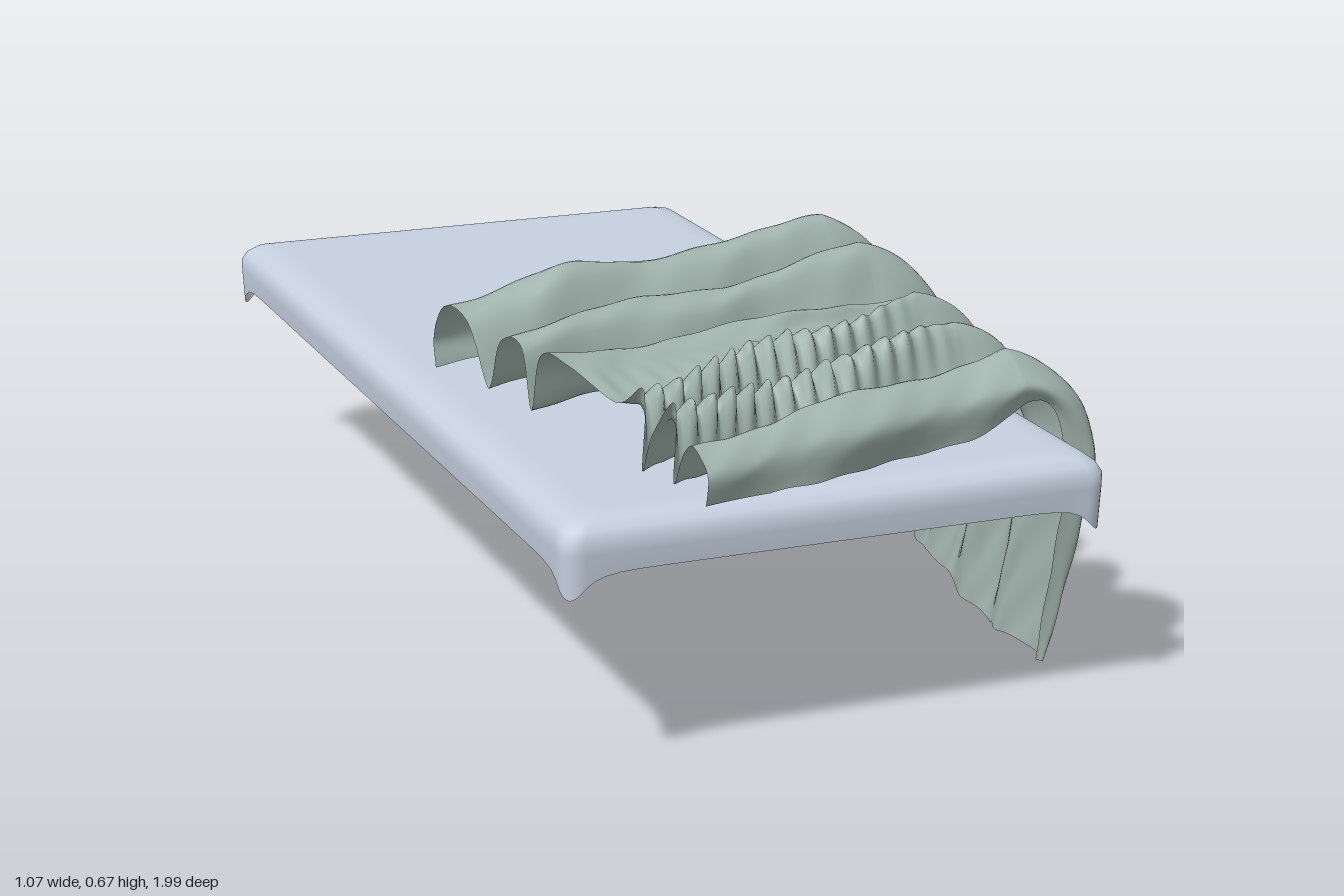
import * as THREE from 'three';

// Smooth indexed surface from a function that returns one column of points
function gridSurface(nu, nv, columnAt) {
  const pos = [], idx = [];
  for (let i = 0; i <= nu; i++) {
    const column = columnAt(i);
    for (let j = 0; j <= nv; j++) pos.push(...column[j]);
  }
  for (let i = 0; i < nu; i++) {
    for (let j = 0; j < nv; j++) {
      const a = i * (nv + 1) + j, b = a + 1, c = a + nv + 1, d = c + 1;
      idx.push(a, b, c, c, b, d);
    }
  }
  const geo = new THREE.BufferGeometry();
  geo.setAttribute('position', new THREE.Float32BufferAttribute(pos, 3));
  geo.setIndex(idx);
  geo.computeVertexNormals();
  return geo;
}

// Fitted sheet: rounded rectangle rings, open below, with hanging corner tips
function sheetGeometry() {
  const hx = 0.495, hz = 0.99, r = 0.035, outline = [];
  const corners = [[1, 1], [-1, 1], [-1, -1], [1, -1]];
  const arcPoint = (q, t) => {
    const a = (q + t) * Math.PI / 2;
    return [corners[q][0] * (hx - r) + r * Math.cos(a), corners[q][1] * (hz - r) + r * Math.sin(a)];
  };
  for (let q = 0; q < 4; q++) {
    for (let k = 0; k <= 8; k++) outline.push(arcPoint(q, k / 8));
    const a = arcPoint(q, 1), b = arcPoint((q + 1) % 4, 0);
    for (let k = 1; k < 24; k++) {
      const f = (1 - Math.cos(Math.PI * k / 24)) / 2;
      outline.push([a[0] + (b[0] - a[0]) * f, a[1] + (b[1] - a[1]) * f]);
    }
  }
  outline.push(outline[0]);
  // inset from the edge, height
  const profile = [[0.003, 0.377], [0, 0.41], [0, 0.432], [0.009, 0.448], [0.025, 0.46], [0.048, 0.466],
    [0.08, 0.467], [0.2, 0.466], [0.35, 0.466], [0.495, 0.466]];
  return gridSurface(outline.length - 1, profile.length - 1, (i) => {
    const [x, z] = outline[i];
    const d = hx - Math.abs(x) + hz - Math.abs(z);
    return profile.map(([inset, y], j) => {
      const s = 1 - inset / hx, sz = j === profile.length - 1 ? 0 : 1 - inset / hz;
      const drop = j === 0 ? 0.1 * Math.exp(-d / 0.025) : 0;
      return [-0.04 + x * s, y - drop, -0.01 + z * sz];
    });
  });
}

// Blanket folds from back to front: z and height at the left end, z and height at the right side
const folds = [
  [0.14, 0.03, -0.07, 0.05], [0.13, 0.08, -0.09, 0.11], [0.17, 0.14, -0.03, 0.165], [0.25, 0.14, 0.05, 0.19],
  [0.31, 0.05, 0.11, 0.13], [0.33, 0.05, 0.14, 0.13], [0.36, 0.14, 0.18, 0.185], [0.43, 0.14, 0.24, 0.18],
  [0.46, 0.03, 0.30, 0.09], [0.49, 0.13, 0.33, 0.13], [0.58, 0.14, 0.36, 0.10], [0.72, 0.12, 0.41, 0.14],
  [0.79, 0.14, 0.44, 0.155], [0.80, 0.02, 0.51, 0.06], [0.83, 0.09, 0.56, 0.13], [0.88, 0.125, 0.61, 0.15],
  [0.89, 0.02, 0.67, 0.07], [0.92, 0.08, 0.71, 0.10], [0.95, 0.10, 0.79, 0.15], [0.99, 0.06, 0.87, 0.11],
  [0.98, 0.0, 0.86, 0.03]];
const puckered = [12, 15];
const bump = (t, centre, width) => Math.exp(-(((t - centre) / width) ** 2));

function blanketGeometry() {
  const NU = 150, NV = 140, TOP = 0.62, ARC = 0.77;
  const bendX = 0.35, bendR = 0.08, surfaceY = 0.462, mix = THREE.MathUtils.lerp;
  return gridSurface(NU, NV, (i) => {
    const u = i / NU;
    const t = Math.min(u / TOP, 1);
    const bend = THREE.MathUtils.clamp((u - TOP) / (ARC - TOP), 0, 1);
    const hang = Math.max(0, (u - ARC) / (1 - ARC));
    // Cross-section of the folds at this distance along the blanket
    const section = new THREE.CatmullRomCurve3(folds.map(([zL, hL, zR, hR], k) => {
      const swell = 1 + 0.06 * Math.sin(t * 9 + k * 0.9) * (1 - hang);
      const saw = Math.abs((u * 24) % 1 - 0.5) - 0.25;
      const pucker = puckered.includes(k) ? saw * 0.1 * (1 - t * t) : 0;
      const backRidge = k === 2 || k === 3 ? 0.05 * bump(t, 0.29, 0.16) + 0.035 * bump(t + bend * 0.5, 0.96, 0.2) : 0;
      const liftedEdge = k === 20 ? 0.055 * bump(t + bend * 0.5, 1.08, 0.14) : 0;
      const side = mix(1, 0.44, bend) * mix(1, 0.45, hang * hang);
      const z = mix(zL, zR, t) + 0.008 * Math.sin(t * 11 + k * 2.1) * t * (1 - t) * 4;
      const zHang = -0.1 + 0.906 * (zR + 0.08);
      const height = mix(hL, hR, t) * swell + pucker + backRidge + liftedEdge;
      return new THREE.Vector3(0, height * side, mix(z, zHang, hang) + pucker * 0.6);
    }), false, 'catmullrom', 0.5);
    const column = [];
    for (let j = 0; j <= NV; j++) {
      const p = section.getPoint(j / NV);
      const h = Math.max(0.007, p.y + 0.003 * Math.sin(j * 0.5 + u * 23) * Math.sin(u * 37 + j * 0.13));
      const zLeft = section.points[0].z, zRight = section.points[20].z;
      const across = THREE.MathUtils.clamp((p.z - zLeft) / (zRight - zLeft), 0, 1);
      if (u <= TOP) {
        column.push([mix(-0.47 + 0.18 * across, bendX, t), surfaceY + h, p.z]);
      } else if (u <= ARC) {
        const a = bend * Math.PI / 2;
        column.push([bendX + (bendR + h) * Math.sin(a), surfaceY - bendR + (bendR + h) * Math.cos(a), p.z]);
      } else {
        const hem = across < 0.75 ? mix(0.15, 0.005, across / 0.75) : 0.012;
        column.push([bendX + bendR + h + 0.012 * hang * hang, mix(surfaceY - bendR, hem, hang), p.z]);
      }
    }
    return column;
  });
}

export function createModel() {
  const group = new THREE.Group();
  const sheetMat = new THREE.MeshStandardMaterial({ color: 0xc6d1e0, side: THREE.DoubleSide });
  sheetMat.name = 'pale blue grey';
  const blanketMat = new THREE.MeshStandardMaterial({ color: 0xa3b5af, side: THREE.DoubleSide });
  blanketMat.name = 'sage green';

  const sheet = new THREE.Mesh(sheetGeometry(), sheetMat);
  sheet.name = 'fittedSheet';
  const blanket = new THREE.Mesh(blanketGeometry(), blanketMat);
  blanket.name = 'crumpledBlanket';
  group.add(sheet, blanket);
  return group;
}
